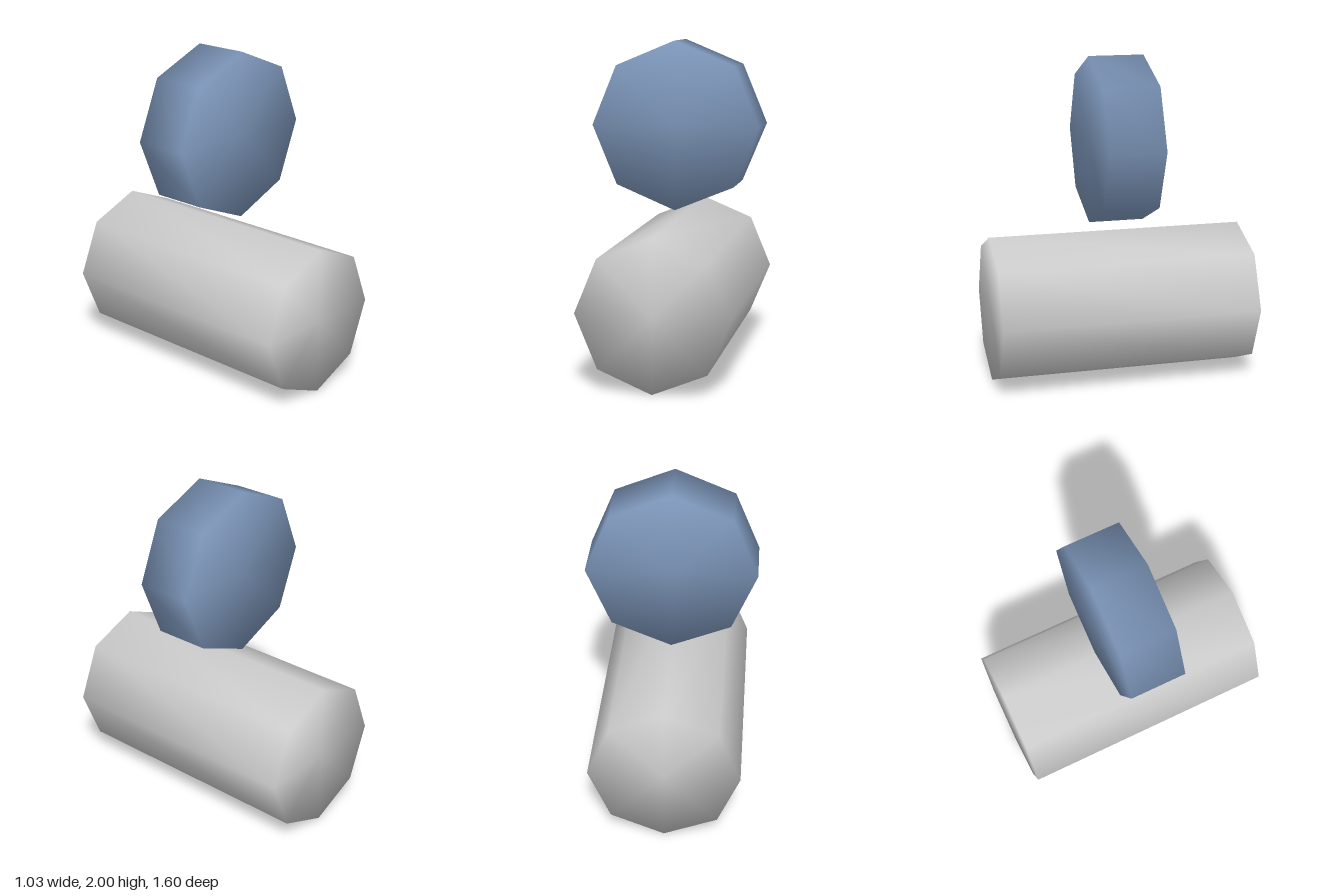
import * as THREE from 'three';
import { mergeVertices } from 'three/addons/utils/BufferGeometryUtils.js';

// Eight-sided drum lying along z, corner upwards, with normals shared across every edge
function drum(name, radius, length, y, color) {
  let geometry = new THREE.CylinderGeometry(radius, radius, length, 8);
  geometry.rotateX(Math.PI / 2);
  geometry.deleteAttribute('uv');
  geometry.deleteAttribute('normal');
  geometry = mergeVertices(geometry, 1e-4);
  geometry.computeVertexNormals();
  const mesh = new THREE.Mesh(geometry, new THREE.MeshStandardMaterial({ color }));
  mesh.name = name;
  mesh.position.y = y;
  return mesh;
}

export function createModel() {
  const group = new THREE.Group();
  group.name = 'stackedDrums';
  // Long lower drum
  group.add(drum('lowerDrum', 0.457, 1.6, 0.459, 0xcccccc));
  // Short, wider disc floating just above it
  group.add(drum('upperDisc', 0.513, 0.344, 1.487, 0x7a93b6));
  return group;
}
